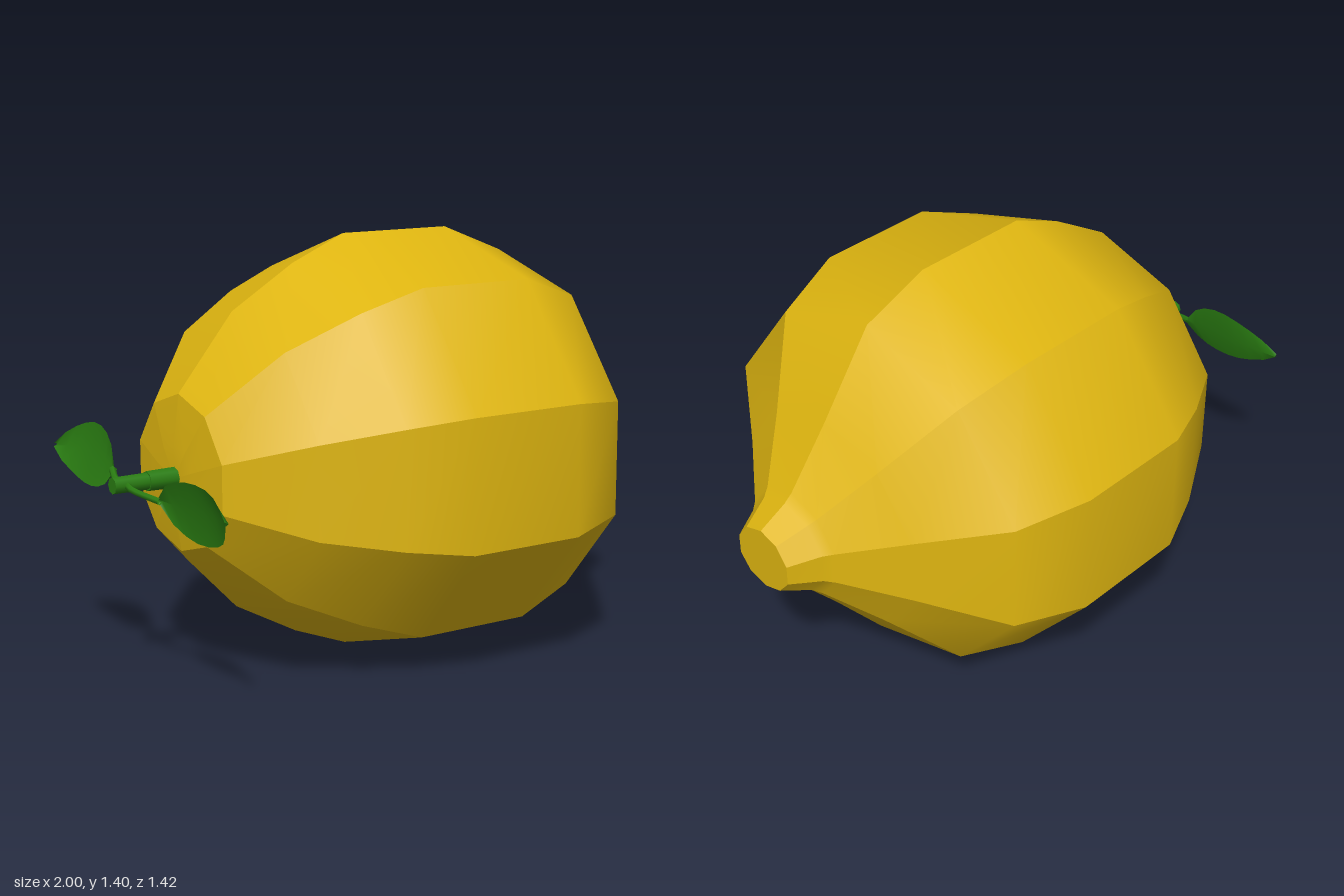
import * as THREE from 'three';
import { mergeGeometries } from 'three/addons/utils/BufferGeometryUtils.js';

const SIDES = 10;
const AXIS_Y = 0.66;

// Point on a ten-sided ring around the x axis, with the underside flattened
function ringPoint([x, r, lift = 0], j) {
  const a = (j / SIDES) * Math.PI * 2;
  const c = Math.cos(a);
  return [x, AXIS_Y + lift + r * c * (c < 0 ? 0.88 : 1), r * Math.sin(a)];
}

// Facets run the length of the profile: smooth lengthwise, sharp between sides
function facetedSkin(profile) {
  const strips = [];
  for (let j = 0; j < SIDES; j++) {
    const pos = [], idx = [];
    profile.forEach((p, i) => {
      pos.push(...ringPoint(p, j), ...ringPoint(p, j + 1));
      if (i === profile.length - 1) return;
      const a = i * 2;
      idx.push(a, a + 1, a + 2, a + 1, a + 3, a + 2);
    });
    const g = new THREE.BufferGeometry();
    g.setAttribute('position', new THREE.Float32BufferAttribute(pos, 3));
    g.setIndex(idx);
    g.computeVertexNormals();
    strips.push(g);
  }
  return mergeGeometries(strips);
}

// Pointed blade along a curve; lean tilts the blade, the midrib is folded in
function leafBlade(curve, halfWidth, lean) {
  const pos = [], idx = [], rows = 8;
  for (let i = 0; i <= rows; i++) {
    const t = i / rows;
    const p = curve.getPoint(t);
    const w = halfWidth * Math.pow(Math.sin(Math.PI * Math.pow(t, 0.85)), 0.75) + 0.006;
    for (let k = -1; k <= 1; k++) {
      pos.push(p.x + k * w * lean + (k === 0 ? 0.012 : 0), p.y + k * w, p.z);
    }
    if (i === rows) continue;
    for (let k = 0; k < 2; k++) {
      const a = i * 3 + k;
      idx.push(a, a + 1, a + 3, a + 1, a + 4, a + 3);
    }
  }
  const g = new THREE.BufferGeometry();
  g.setAttribute('position', new THREE.Float32BufferAttribute(pos, 3));
  g.setIndex(idx);
  g.computeVertexNormals();
  return g;
}

export function createModel() {
  const model = new THREE.Group();
  model.name = 'lemon';

  const peel = new THREE.MeshStandardMaterial({ color: 0xdeb510 });
  peel.name = 'yellow peel';
  const green = new THREE.MeshStandardMaterial({ color: 0x2a7d12, side: THREE.DoubleSide });
  green.name = 'leaf green';

  const add = (name, geometry, material, parent = model) => {
    const mesh = new THREE.Mesh(geometry, material);
    mesh.name = name;
    parent.add(mesh);
    return mesh;
  };

  // Fruit: stem end, body running into the nipple, and the flat tip
  add('stemEnd', facetedSkin([[-0.78, 0], [-0.78, 0.11], [-0.76, 0.27]]), peel);
  add('fruitBody', facetedSkin([
    [-0.76, 0.27], [-0.56, 0.515], [-0.33, 0.655], [-0.13, 0.742], [0.29, 0.745],
    [0.53, 0.655], [0.72, 0.39], [0.87, 0.197, 0.003], [0.9, 0.17, 0.006], [1, 0.117, 0.01],
  ]), peel);
  add('tipCap', facetedSkin([[1, 0.117, 0.01], [1, 0, 0.01]]), peel);

  // Stem: thin outer length and a thicker base
  for (const [name, x0, x1, r] of [['stem', -1, -0.86, 0.028], ['stemBase', -0.88, -0.77, 0.034]]) {
    const g = new THREE.CylinderGeometry(r, r * 0.95, x1 - x0, 8).rotateZ(-Math.PI / 2);
    add(name, g, green).position.set((x0 + x1) / 2, AXIS_Y + 0.005, 0);
  }

  // Two leaves on curved stalks, one to each side of the stem
  const leaves = [
    { name: 'frontLeaf', lean: -0.22, stalk: [[-0.95, 0.665, 0], [-0.968, 0.66, 0.07], [-0.945, 0.645, 0.2]],
      blade: [[-0.945, 0.645, 0.19], [-0.925, 0.635, 0.33], [-0.922, 0.64, 0.48], [-0.97, 0.66, 0.62]] },
    { name: 'backLeaf', lean: 0.22, stalk: [[-0.95, 0.665, 0], [-0.958, 0.67, -0.05], [-0.935, 0.69, -0.12]],
      blade: [[-0.935, 0.69, -0.11], [-0.927, 0.71, -0.23], [-0.927, 0.715, -0.36], [-0.95, 0.71, -0.5]] },
  ];
  for (const { name, lean, stalk, blade } of leaves) {
    const leaf = new THREE.Group();
    leaf.name = name;
    model.add(leaf);
    const curve = (pts) => new THREE.CatmullRomCurve3(pts.map((p) => new THREE.Vector3(...p)));
    add('leafStalk', new THREE.TubeGeometry(curve(stalk), 6, 0.011, 6), green, leaf);
    add('leafBlade', leafBlade(curve(blade), 0.092, lean), green, leaf);
  }

  return model;
}
